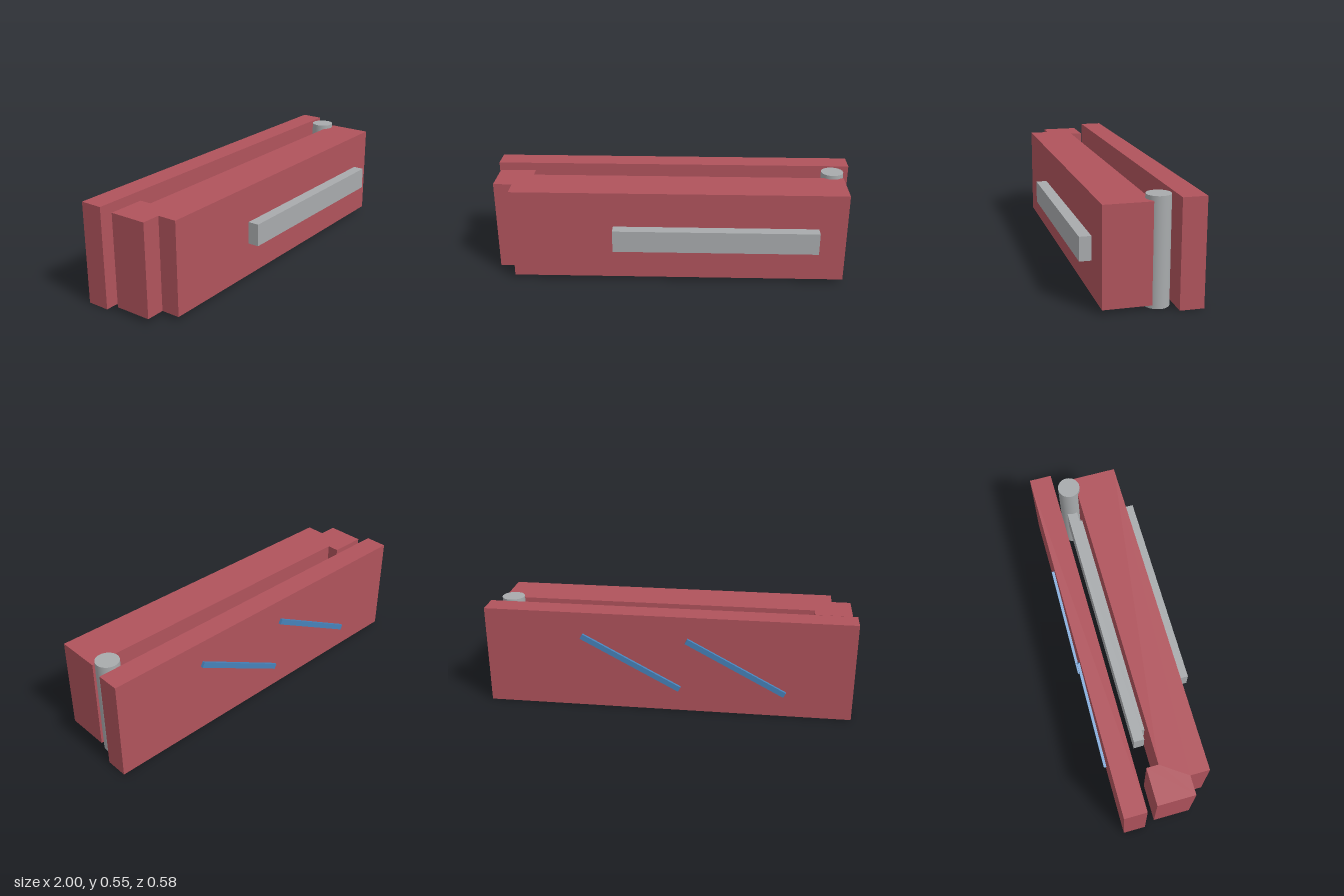
import * as THREE from 'three';

const material = (name, color) => {
  const m = new THREE.MeshStandardMaterial({ color });
  m.name = name;
  return m;
};

export function createModel() {
  const group = new THREE.Group();
  const red = material('casing red', 0xb0535c);
  const grey = material('metal grey', 0xa8abad);
  const blue = material('stripe blue', 0x4682b9);

  const add = (name, geometry, mat) => {
    const mesh = new THREE.Mesh(geometry, mat);
    mesh.name = name;
    group.add(mesh);
    return mesh;
  };
  // Box given by its limits along each axis
  const box = (name, mat, [x0, x1], [y0, y1], [z0, z1]) => {
    const mesh = add(name, new THREE.BoxGeometry(x1 - x0, y1 - y0, z1 - z0), mat);
    mesh.position.set((x0 + x1) / 2, (y0 + y1) / 2, (z0 + z1) / 2);
    return mesh;
  };

  // Rear plate
  box('backPlate', red, [-1, 1], [0, 0.552], [-0.273, -0.15]);

  // Stepped front casing: outline in x and z, extruded upwards
  const outline = [
    [-0.98, 0.112], [-0.877, 0.112], [-0.877, 0.217], [0.957, 0.217],
    [0.957, -0.028], [-0.78, -0.028], [-0.78, -0.093], [-0.98, -0.093],
  ].map(([x, z]) => new THREE.Vector2(x, -z));
  const casing = new THREE.ExtrudeGeometry(new THREE.Shape(outline), { depth: 0.508, bevelEnabled: false });
  casing.rotateX(-Math.PI / 2);
  add('frontCasing', casing, red).position.y = 0.022;

  // Hinge pin
  const pin = add('hingePin', new THREE.CylinderGeometry(0.062, 0.062, 0.552, 32), grey);
  pin.position.set(0.896, 0.276, -0.069);

  // Outer handle, and the inner bar with its mounting strip
  box('handle', grey, [-0.315, 0.803], [0.215, 0.338], [0.228, 0.289]);
  box('innerBar', grey, [-0.595, 0.84], [0.2, 0.352], [-0.103, -0.045]);
  box('mountingStrip', grey, [-0.54, 0.785], [0.215, 0.338], [-0.045, -0.028]);

  // Slanted stripes on the back
  for (const x of [-0.37, 0.2]) {
    const stripe = add('backStripe', new THREE.BoxGeometry(0.607, 0.03, 0.015), blue);
    stripe.position.set(x, 0.276, -0.2805);
    stripe.rotation.z = 0.492;
  }
  return group;
}
